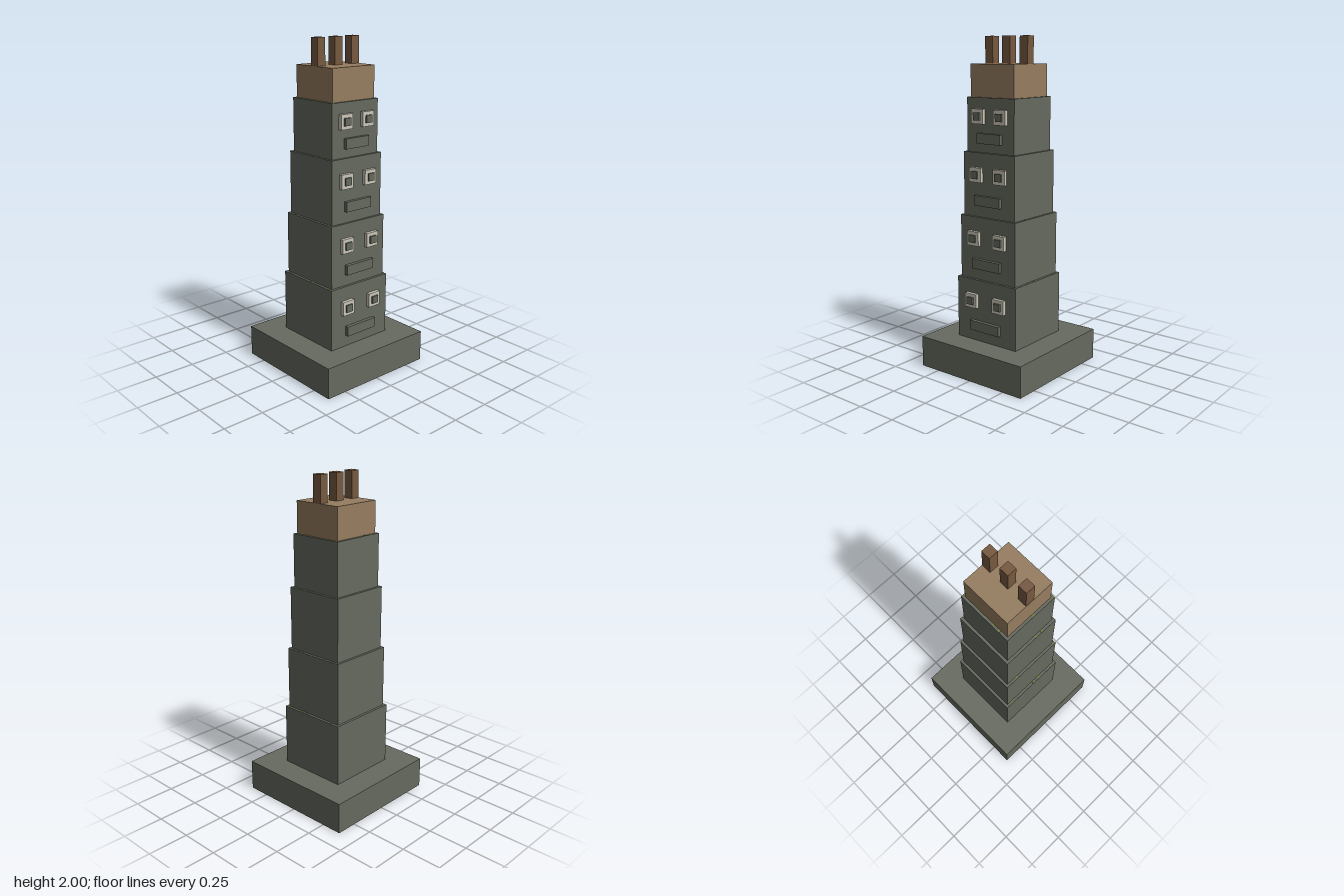
import * as THREE from 'three';

const material = (name, color) => {
  const m = new THREE.MeshStandardMaterial({ color });
  m.name = name;
  return m;
};

export function createModel() {
  const stone = material('stone', 0x666a5f);
  const wood = material('wood', 0x967d60);
  const darkWood = material('darkWood', 0x765940);
  const bone = material('bone', 0xcbc7b8);
  const moss = material('moss', 0x737f42);

  const model = new THREE.Group();
  model.name = 'totemTower';

  // Box standing on y, centred on x and z
  const box = (name, mat, w, h, d, x, y, z, parent = model) => {
    const mesh = new THREE.Mesh(new THREE.BoxGeometry(w, h, d), mat);
    mesh.name = name;
    mesh.position.set(x, y + h / 2, z);
    parent.add(mesh);
    return mesh;
  };

  box('base', stone, 0.76, 0.19, 0.76, 0, 0, 0);

  // Stacked tiers, each with a carved face on the front
  const tiers = [
    { half: 0.221, y: 0.19, h: 0.381, eyeX: 0.104, eyeY: 0.441, mouthY: 0.288, mouthW: 0.218 },
    { half: 0.205, y: 0.571, h: 0.381, eyeX: 0.096, eyeY: 0.822, mouthY: 0.67, mouthW: 0.206 },
    { half: 0.19, y: 0.952, h: 0.381, eyeX: 0.089, eyeY: 1.203, mouthY: 1.051, mouthW: 0.19 },
    { half: 0.174, y: 1.333, h: 0.318, eyeX: 0.082, eyeY: 1.543, mouthY: 1.416, mouthW: 0.174 },
  ];
  tiers.forEach((t, i) => {
    const tier = new THREE.Group();
    tier.name = `tier${i + 1}`;
    model.add(tier);
    box('block', stone, t.half * 2, t.h, t.half * 2, 0, t.y, 0, tier);
    for (const side of [-1, 1]) {
      const name = side > 0 ? 'left' : 'right';
      box(`${name}Eye`, bone, 0.087, 0.087, 0.022, side * t.eyeX, t.eyeY - 0.0435, t.half + 0.011, tier);
      box(`${name}Pupil`, stone, 0.045, 0.045, 0.022, side * t.eyeX, t.eyeY - 0.0225, t.half + 0.021, tier);
    }
    box('mouth', stone, t.mouthW, 0.06, 0.022, 0, t.mouthY - 0.03, t.half + 0.011, tier);
  });

  // Wooden cap with three posts
  box('cap', wood, 0.317, 0.19, 0.317, 0, 1.651, 0);
  for (const x of [-0.128, 0, 0.128]) box('post', darkWood, 0.057, 0.159, 0.057, x, 1.841, 0);

  // Small moss flecks lying on the ledges: [x, z] for each tier from the bottom up
  const flecks = [
    [[-0.213, -0.168], [-0.213, 0.022], [-0.213, 0.07], [-0.213, 0.183],
      [0.213, -0.153], [0.213, 0.037], [0.213, 0.085], [0.213, 0.198]],
    [[-0.198, -0.12], [-0.198, 0.198], [0.198, -0.09], [0.198, 0.1]],
    [[-0.182, 0.037], [-0.182, 0.085], [0.182, -0.168], [0.182, 0.182]],
    [[-0.166, 0.022], [-0.166, 0.166], [0.166, -0.153], [0.166, -0.105],
      [0.166, 0.085], [-0.105, -0.166], [-0.057, -0.166]],
  ];
  flecks.forEach((list, i) => {
    const top = tiers[i].y + tiers[i].h;
    for (const [x, z] of list) box('mossFleck', moss, 0.014, 0.002, 0.014, x, top, z);
  });

  return model;
}
